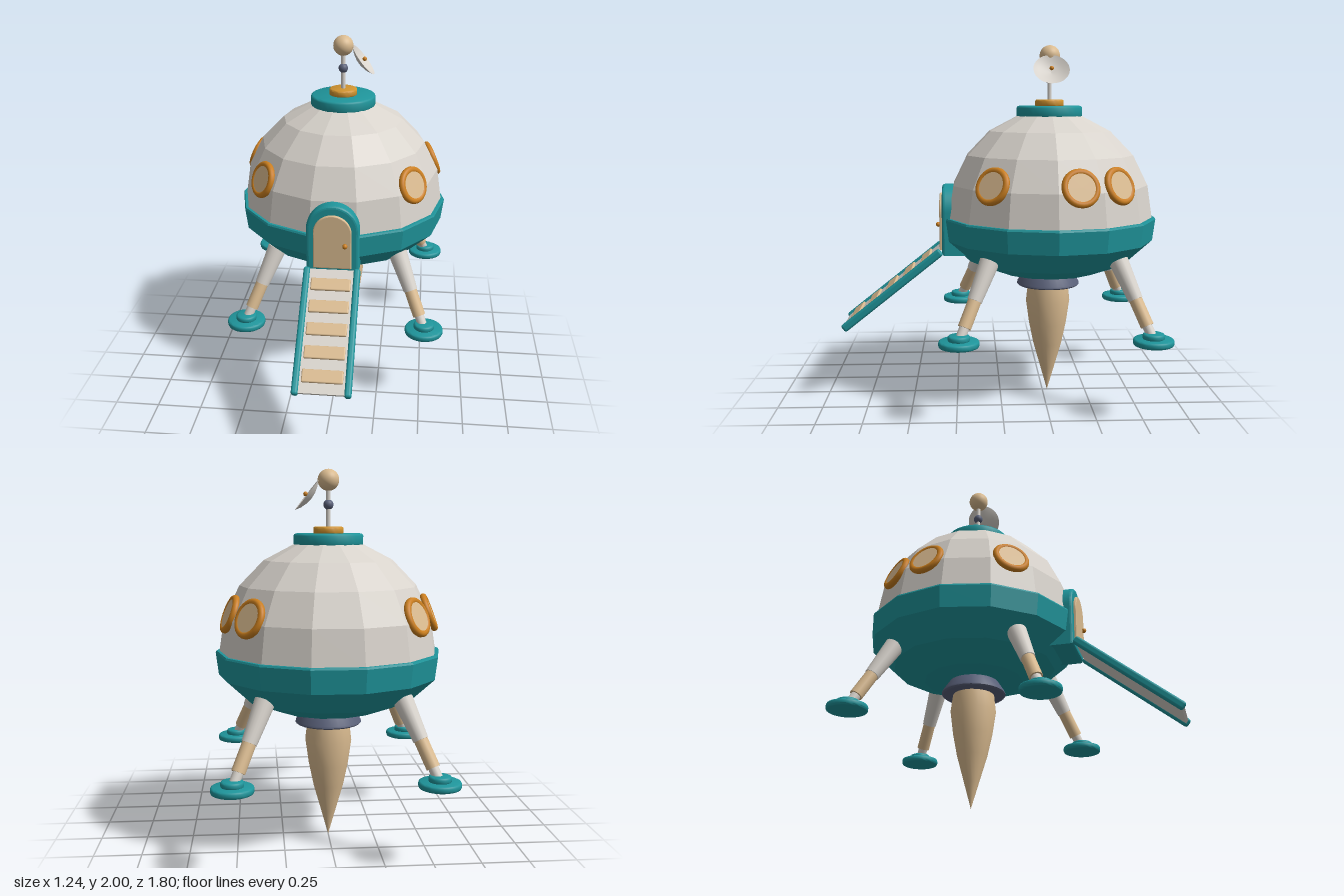
import * as THREE from 'three';
import { RoundedBoxGeometry } from 'three/addons/geometries/RoundedBoxGeometry.js';
import { toCreasedNormals } from 'three/addons/utils/BufferGeometryUtils.js';

const CZ = -0.278; // z of the hull axis

function makeMaterial(name, color, options = {}) {
  const m = new THREE.MeshStandardMaterial({ color, ...options });
  m.name = name;
  return m;
}

const teal = makeMaterial('teal', 0x1f959b);
const shell = makeMaterial('pale shell', 0xd8d3cc);
const dishMat = makeMaterial('pale dish', 0xd8d3cc, { side: THREE.DoubleSide });
const beige = makeMaterial('beige', 0xdabb90);
const amber = makeMaterial('amber', 0xd0932f);
const orange = makeMaterial('orange', 0xcb7f1f);
const slate = makeMaterial('slate', 0x5a617a);

function add(parent, name, geometry, material, x = 0, y = 0, z = 0) {
  const mesh = new THREE.Mesh(geometry, material);
  mesh.name = name;
  mesh.position.set(x, y, z);
  parent.add(mesh);
  return mesh;
}

const points = (list) => list.map(([x, y]) => new THREE.Vector2(x, y));
const lathe = (list, sides, start = 0) => new THREE.LatheGeometry(points(list), sides, start);

function faceted(geometry) {
  const g = geometry.toNonIndexed();
  g.computeVertexNormals();
  return g;
}

// Disc with softened rims, standing on y = 0
function disc(radius, height, bevel = 0.012) {
  return toCreasedNormals(lathe([
    [0, 0], [radius - bevel, 0], [radius - bevel * 0.3, bevel * 0.3], [radius, bevel],
    [radius, height - bevel], [radius - bevel * 0.3, height - bevel * 0.3],
    [radius - bevel, height], [0, height]], 32), 0.9);
}

// Door outline: straight sides with a round top
function arch(halfWidth, bottom, spring) {
  const s = new THREE.Shape();
  s.moveTo(-halfWidth, bottom);
  s.lineTo(halfWidth, bottom);
  s.lineTo(halfWidth, spring);
  s.absarc(0, spring, halfWidth, 0, Math.PI, false);
  s.closePath();
  return s;
}

function archPlate(halfWidth, bottom, spring, depth, bevel) {
  return new THREE.ExtrudeGeometry(arch(halfWidth - bevel, bottom + bevel, spring), {
    depth: depth - 2 * bevel, bevelEnabled: true, bevelSize: bevel,
    bevelThickness: bevel, bevelSegments: 3, curveSegments: 20 });
}

// Cylinder between two points
function rod(parent, name, from, to, r0, r1, material) {
  const a = new THREE.Vector3(...from), b = new THREE.Vector3(...to);
  const dir = b.clone().sub(a);
  const mesh = add(parent, name, new THREE.CylinderGeometry(r1, r0, dir.length(), 20), material);
  mesh.position.copy(a).add(b).multiplyScalar(0.5);
  mesh.quaternion.setFromUnitVectors(new THREE.Vector3(0, 1, 0), dir.normalize());
  return mesh;
}

function buildHull(root) {
  const hull = new THREE.Group();
  hull.name = 'hull';
  hull.position.z = CZ;
  root.add(hull);

  // 14-sided dome in five rows
  const dome = [];
  for (let i = 0; i <= 5; i++) {
    const a = (i / 5) * Math.PI / 2;
    dome.push([0.585 * Math.cos(a), 1.04 + 0.6 * Math.sin(a)]);
  }
  dome[5][0] = 0;
  add(hull, 'dome', faceted(lathe(dome, 14, Math.PI / 2)), shell);
  add(hull, 'lower hull', faceted(lathe([
    [0, 0.71], [0.28, 0.725], [0.46, 0.795], [0.59, 0.915], [0.605, 1.035], [0.6, 1.045], [0.56, 1.045]],
    14, Math.PI / 2)), teal);

  // Roof cap and mast
  add(hull, 'roof cap', disc(0.185, 0.065), teal, 0, 1.6, 0);
  add(hull, 'mast base', disc(0.08, 0.04, 0.008), amber, 0, 1.66, 0);
  add(hull, 'mast', new THREE.CylinderGeometry(0.012, 0.012, 0.24, 16), shell, 0, 1.8, 0);
  add(hull, 'mast joint', new THREE.SphereGeometry(0.027, 20, 14), slate, 0, 1.815, 0);
  add(hull, 'mast ball', new THREE.SphereGeometry(0.057, 28, 20), beige, 0, 1.943, 0);

  // Tilted dish with a feed bead
  const dish = new THREE.Group();
  dish.name = 'dish';
  dish.position.set(0.105, 1.858, 0);
  dish.rotation.z = -0.9;
  hull.add(dish);
  add(dish, 'dish bowl', lathe([[0, -0.02], [0.035, -0.016], [0.07, -0.005], [0.1, 0.012]], 28), dishMat);
  add(dish, 'dish feed', new THREE.SphereGeometry(0.012, 14, 10), orange, 0, 0.02, 0);

  // Engine and flame
  add(hull, 'nozzle', toCreasedNormals(lathe([
    [0, 0.64], [0.172, 0.64], [0.18, 0.647], [0.178, 0.657], [0.13, 0.73], [0, 0.73]], 28), 0.6), slate);
  add(hull, 'flame', lathe([
    [0, 0], [0.04, 0.14], [0.083, 0.29], [0.108, 0.41], [0.127, 0.545], [0.115, 0.65]], 18), beige);
}

function buildWindows(root) {
  const tilt = 0.37;
  const angles = [38.5, -12.5, -38.5].map((d) => d * Math.PI / 180);
  for (const side of [1, -1]) {
    for (const a of angles) {
      const w = new THREE.Group();
      w.name = 'window';
      const r = 0.535;
      w.position.set(side * r * Math.cos(a), 1.253, CZ + r * Math.sin(a));
      w.rotation.order = 'YXZ';
      w.rotation.y = Math.atan2(side * Math.cos(a), Math.sin(a));
      w.rotation.x = -tilt;
      root.add(w);
      add(w, 'window ring', new THREE.TorusGeometry(0.086, 0.019, 12, 32), orange);
      const pane = add(w, 'window pane', new THREE.CylinderGeometry(0.08, 0.08, 0.03, 32), beige);
      pane.rotation.x = Math.PI / 2;
    }
  }
}

function buildLegs(root) {
  for (const sx of [1, -1]) {
    for (const sz of [1, -1]) {
      const leg = new THREE.Group();
      leg.name = 'landing leg';
      leg.position.z = CZ;
      root.add(leg);
      const at = (y) => {
        const d = 0.36 + (0.81 - y) * 0.42;
        return [sx * d, y, sz * d];
      };
      rod(leg, 'upper leg', at(0.84), at(0.645), 0.054, 0.04, shell);
      rod(leg, 'lower leg', at(0.65), at(0.515), 0.036, 0.036, beige);
      rod(leg, 'ankle', at(0.53), at(0.465), 0.027, 0.027, shell);
      add(leg, 'foot pad', disc(0.108, 0.035, 0.01), teal, sx * 0.513, 0.42, sz * 0.513);
      add(leg, 'foot collar', disc(0.058, 0.035, 0.01), teal, sx * 0.513, 0.448, sz * 0.513);
    }
  }
}

function buildDoor(root) {
  const door = new THREE.Group();
  door.name = 'doorway';
  root.add(door);
  add(door, 'door frame', archPlate(0.145, 0.835, 1.08, 0.18, 0.016), teal, 0, 0, 0.166);
  add(door, 'door', archPlate(0.104, 0.862, 1.07, 0.04, 0.006), beige, 0, 0, 0.311);
  add(door, 'door knob', new THREE.SphereGeometry(0.014, 16, 12), orange, 0.07, 1.003, 0.352);
}

function buildRamp(root) {
  const ramp = new THREE.Group();
  ramp.name = 'boarding ramp';
  ramp.position.set(0, 0.638, 0.614);
  ramp.rotation.x = 0.672;
  root.add(ramp);
  add(ramp, 'ramp deck', new THREE.BoxGeometry(0.25, 0.02, 0.69), shell);
  for (const s of [1, -1]) {
    add(ramp, 'ramp rail', new RoundedBoxGeometry(0.036, 0.046, 0.71, 3, 0.014), teal, s * 0.137, 0, 0);
  }
  for (let i = -2; i <= 2; i++) {
    add(ramp, 'ramp tread', new RoundedBoxGeometry(0.216, 0.022, 0.07, 2, 0.007), beige, 0, 0.012, i * 0.127);
  }
}

export function createModel() {
  const root = new THREE.Group();
  root.name = 'lander';
  buildHull(root);
  buildWindows(root);
  buildLegs(root);
  buildDoor(root);
  buildRamp(root);
  return root;
}
